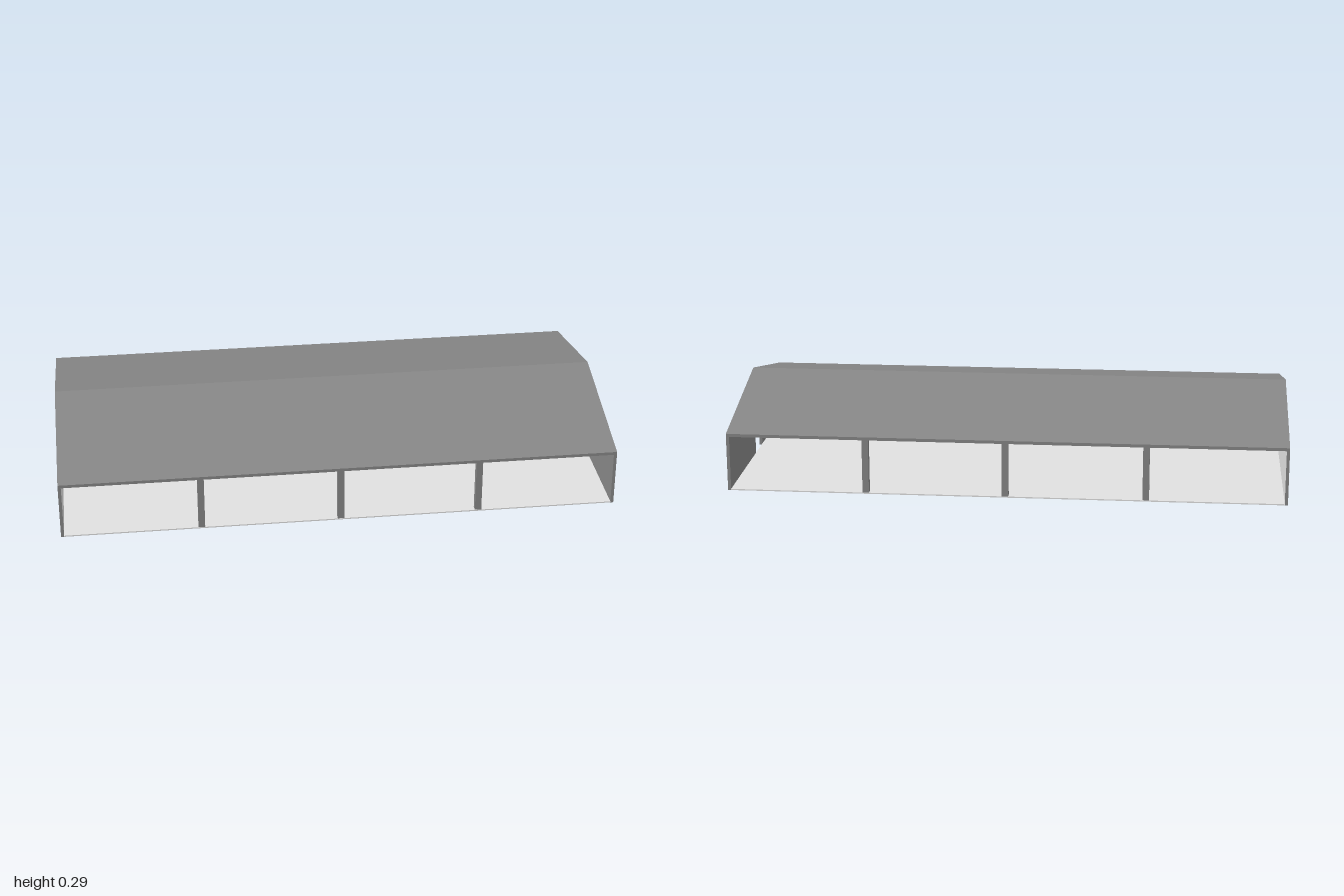
import * as THREE from 'three';

const L = 1.8, W = 0.884;        // length and width of the shed
const EAVE = 0.19, RIDGE = 0.291; // top heights of the roof
const ROOF = 0.01, WALL = 0.01;  // thicknesses
const POST = 0.021;

export function createModel() {
  const panel = new THREE.MeshStandardMaterial({ color: 0xe0e0e0 });
  panel.name = 'light panel';
  const steel = new THREE.MeshStandardMaterial({ color: 0x868686 });
  steel.name = 'dark steel';

  const model = new THREE.Group();
  model.name = 'openShed';
  const shed = new THREE.Group();
  shed.name = 'shed';
  shed.rotation.y = 0.376; // the building stands at an angle
  model.add(shed);

  const add = (name, geometry, material, x = 0, y = 0, z = 0) => {
    const mesh = new THREE.Mesh(geometry, material);
    mesh.name = name;
    mesh.position.set(x, y, z);
    shed.add(mesh);
  };

  // Cross-section swept along the length, centred on x = 0
  const sweep = (points, depth) => {
    const shape = new THREE.Shape(points.map(([u, v]) => new THREE.Vector2(u, v)));
    const geometry = new THREE.ExtrudeGeometry(shape, { depth, bevelEnabled: false });
    return geometry.translate(0, 0, -depth / 2).rotateY(Math.PI / 2);
  };

  const h = W / 2;
  const low = EAVE - ROOF, top = RIDGE - ROOF;

  // Gabled roof sheet
  add('roof', sweep([
    [-h, low], [0, top], [h, low], [h, EAVE], [0, RIDGE], [-h, EAVE],
  ], L), steel);

  // Solid end wall with dark edge trim
  add('rightEndWall', sweep([[-h, 0], [h, 0], [h, low], [0, top], [-h, low]], WALL),
    [panel, steel], -(L - WALL) / 2);

  // End wall with a doorway: light cladding outside, dark lining inside
  const d = 0.0525, doorTop = 0.125;
  const doorWall = [
    [-h, 0], [-d, 0], [-d, doorTop], [d, doorTop], [d, 0], [h, 0], [h, low], [0, top], [-h, low],
  ];
  add('leftEndCladding', sweep(doorWall, WALL / 2), [panel, steel], L / 2 - WALL / 4);
  add('leftEndLining', sweep(doorWall, WALL / 2), steel, L / 2 - WALL * 0.75);

  // Floor slab between the end walls
  add('floor', new THREE.BoxGeometry(L - 2 * WALL, 0.004, W), panel, 0, 0.002);

  // Three posts and an eave beam along each open side
  for (const side of [-1, 1]) {
    const z = side * (h - POST / 2 - 0.001);
    for (const x of [-L / 4, 0, L / 4]) {
      add('post', new THREE.BoxGeometry(POST, low, POST), steel, x, low / 2 + 0.002, z);
    }
  }
  return model;
}
